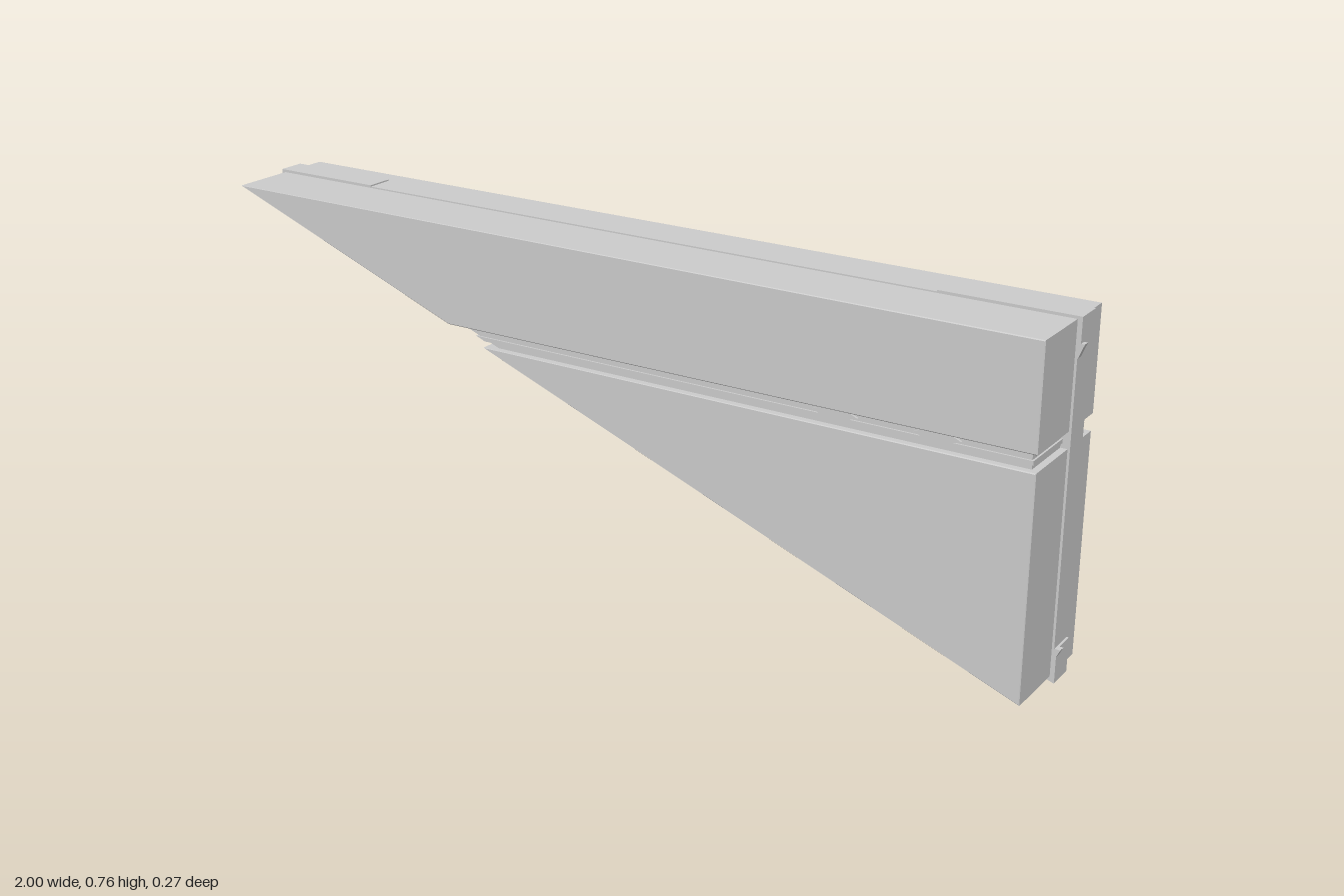
import * as THREE from 'three';

const mat = new THREE.MeshStandardMaterial({ color: 0xcccccc, flatShading: true });
const SLOPE = 0.3784;
const RIGHT = 0.978;
// x of the sloping underside at height y; inset moves it inwards
const slopeX = (y, inset = 0) => -0.99 + inset + (0.757 - y) / SLOPE;

// outline in x/y (counter-clockwise) extruded from z0 to z1 with a fine bevel
function prism(name, pts, z0, z1, bevel = 0.002) {
  const shape = new THREE.Shape(pts.map(([x, y]) => new THREE.Vector2(x, y)));
  const geo = new THREE.ExtrudeGeometry(shape, {
    depth: z1 - z0 - 2 * bevel,
    bevelEnabled: bevel > 0,
    bevelThickness: bevel,
    bevelSize: bevel,
    bevelOffset: -bevel,
    bevelSegments: 1,
  });
  geo.translate(0, 0, z0 + bevel);
  const mesh = new THREE.Mesh(geo, mat);
  mesh.name = name;
  return mesh;
}

// horizontal slice of the wedge
const slice = (y0, y1, inset = 0) => [
  [slopeX(y1, inset * 2), y1], [slopeX(y0, inset * 2), y0], [RIGHT - inset, y0], [RIGHT - inset, y1],
];

export function createModel() {
  const group = new THREE.Group();

  // main slabs, separated by a groove
  group.add(prism('upperSlab', slice(0.533, 0.757), -0.133, 0.135));
  group.add(prism('lowerSlab', [
    [slopeX(0.497), 0.497], [RIGHT, 0.013], [RIGHT, 0.497],
  ], -0.13, 0.135));
  group.add(prism('grooveCore', slice(0.49, 0.54, 0.015), -0.114, 0.119, 0));
  group.add(prism('grooveRib', slice(0.507, 0.516, 0.011), -0.118, 0.123, 0));

  // small lozenge catches in the groove, front and back
  for (const x of [0.55, 0.77]) {
    for (const [z0, z1] of [[0.11, 0.124], [-0.119, -0.105]]) {
      group.add(prism('grooveCatch', [
        [x - 0.05, 0.522], [x - 0.03, 0.515], [x + 0.03, 0.515],
        [x + 0.05, 0.522], [x + 0.03, 0.531], [x - 0.03, 0.531],
      ], z0, z1, 0));
    }
  }

  // raised band running round the rim
  const zb = [-0.075, -0.013];
  group.add(prism('rimBand', [
    [-0.995, 0.760], [-0.995, 0.755], [0.983, 0.007], [0.983, 0.760],
  ], ...zb, 0));

  // thicker pieces at the three corners
  const caps = {
    leftCornerCap: [[-1, 0.763], [-1, 0.751], [-0.73, 0.649], [-0.73, 0.763]],
    bottomCornerCap: [[0.787, 0.075], [0.985, 0], [0.988, 0], [0.988, 0.075]],
    topCornerCap: [[0.69, 0.763], [0.69, 0.71], [0.988, 0.71], [0.988, 0.763]],
  };
  for (const [name, pts] of Object.entries(caps)) group.add(prism(name, pts, ...zb, 0));

  // little wedge clips where the band meets the corner caps
  for (const [y0, y1] of [[0.68, 0.71], [0.05, 0.075]]) {
    group.add(prism('bandClip', [[0.97, y0], [0.984, y0], [0.996, y1], [0.97, y1]], -0.028, -0.013, 0));
  }
  return group;
}
